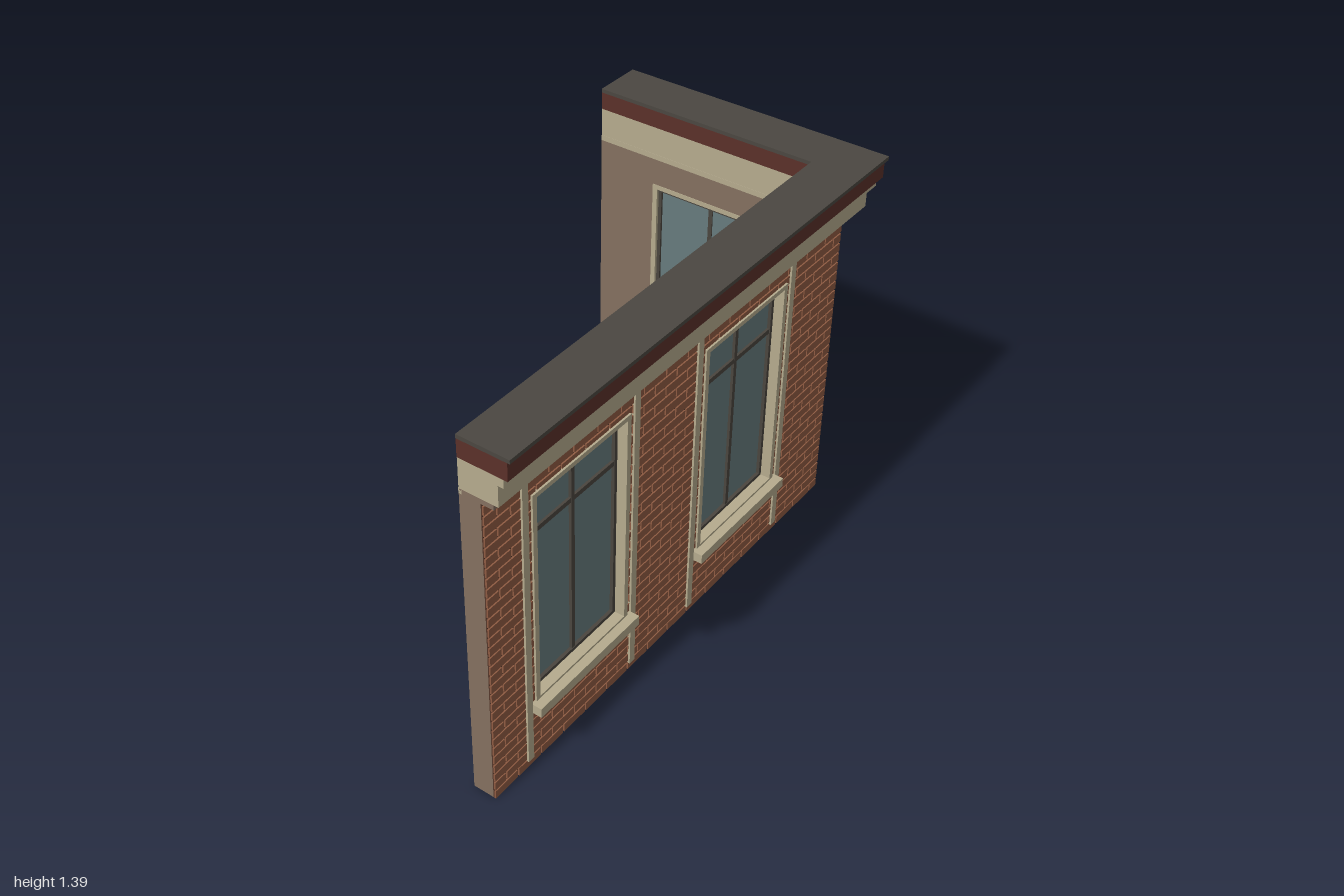
import * as THREE from 'three';
import { mergeGeometries } from 'three/addons/utils/BufferGeometryUtils.js';

const mat = (name, color) => {
  const m = new THREE.MeshStandardMaterial({ color });
  m.name = name;
  return m;
};

// Main heights and depths; each wall is built with its brick face at z = 0
const WALL_TOP = 1.19, INNER = -0.087, BRICK_D = 0.006, MORTAR_D = 0.004;
const FACE_X = 0.901, FACE_Z = 0.425, BACK = -0.52;
const OPEN_W = 0.238, OPEN_BOTTOM = 0.265, OPEN_TOP = 1.09;

function rectPoints(x0, x1, y0, y1) {
  return [[x0, y0], [x1, y0], [x1, y1], [x0, y1]].map(p => new THREE.Vector2(...p));
}

// Flat plate between z0 and z1 with rectangular holes
function plate(rect, holes, z0, z1) {
  const shape = new THREE.Shape(rectPoints(...rect));
  for (const h of holes) shape.holes.push(new THREE.Path(rectPoints(...h)));
  return new THREE.ExtrudeGeometry(shape, { depth: z1 - z0, bevelEnabled: false }).translate(0, 0, z0);
}

function block(x0, x1, y0, y1, z0, z1) {
  return new THREE.BoxGeometry(x1 - x0, y1 - y0, z1 - z0)
    .translate((x0 + x1) / 2, (y0 + y1) / 2, (z0 + z1) / 2);
}

// Parts of a rectangle left over once a hole is cut from it
function subtract([x0, x1, y0, y1], [a, b, c, d]) {
  if (x1 <= a || x0 >= b || y1 <= c || y0 >= d) return [[x0, x1, y0, y1]];
  const l = Math.max(x0, a), r = Math.min(x1, b);
  return [[x0, l, y0, y1], [r, x1, y0, y1], [l, r, y0, c], [l, r, d, y1]]
    .filter(q => q[1] - q[0] > 0.002 && q[3] - q[2] > 0.002);
}

// Running-bond bricks, every other row shifted by half a brick
function brickGeometry(u0, u1, holes) {
  const rows = 31, pitch = WALL_TOP / rows, length = 0.116, joint = 0.0065;
  const parts = [];
  for (let i = 0; i < rows; i++) {
    for (let u = u0 - (i % 2) * length / 2; u < u1; u += length) {
      const a = Math.max(u, u0), b = Math.min(u + length - joint, u1);
      if (b - a < 0.002) continue;
      let cells = [[a, b, i * pitch, (i + 1) * pitch - joint]];
      for (const h of holes) cells = cells.flatMap(c => subtract(c, h));
      for (const c of cells) parts.push(block(...c, -BRICK_D, 0));
    }
  }
  return mergeGeometries(parts);
}

export function createModel() {
  const brick = mat('brick', 0x8f5b42);
  const mortar = mat('mortar', 0x55372a);
  const plaster = mat('plaster', 0x84705f);
  const trim = mat('stone trim', 0xb5ab8e);
  const red = mat('dark red fascia', 0x5b3029);
  const coping = mat('coping', 0x4b4741);
  const frameMat = mat('window frame', 0x4a453e);
  const glass = mat('glass', 0x667b7d);

  const model = new THREE.Group();
  model.name = 'cornerFacade';
  const add = (parent, name, geometry, material) => {
    const m = new THREE.Mesh(geometry, material);
    m.name = name;
    parent.add(m);
  };

  function windowUnit(cx) {
    const g = new THREE.Group();
    g.name = 'window';
    g.position.x = cx;
    const w = 0.219, y0 = 0.275, y1 = 1.073, pane = [-0.206, 0.206, 0.288, 1.061];
    add(g, 'casing', plate([-OPEN_W, OPEN_W, OPEN_BOTTOM, OPEN_TOP], [[-w, w, y0, y1]], INNER - 0.002, 0.007), trim);
    add(g, 'sill', block(-0.257, 0.257, 0.23, 0.267, -0.01, 0.04), trim);
    add(g, 'frame', plate([-w, w, y0, y1], [pane], -0.078, -0.03), frameMat);
    add(g, 'glass', block(...pane, -0.07, -0.042), glass);
    add(g, 'mullion', block(-0.008, 0.008, pane[2], pane[3], -0.074, -0.032), frameMat);
    add(g, 'transom', block(pane[0], pane[1], 0.891, 0.909, -0.06, -0.033), frameMat);
    // Slim upright strips on either side of the window
    for (const s of [-1, 1]) {
      add(g, 'pilasterStrip', block(s * 0.27 - 0.0135, s * 0.27 + 0.0135, 0.03, WALL_TOP, -BRICK_D, 0.007), trim);
    }
    return g;
  }

  // Ranges along the wall are given for the bricks, mortar and plaster layers
  function wall(name, brickU, mortarU, plasterU, centres) {
    const g = new THREE.Group();
    g.name = name;
    const holes = centres.map(c => [c - OPEN_W, c + OPEN_W, OPEN_BOTTOM, OPEN_TOP]);
    const back = -BRICK_D - MORTAR_D;
    add(g, 'bricks', brickGeometry(...brickU, holes), brick);
    add(g, 'mortarBed', plate([...mortarU, 0, WALL_TOP], holes, back, -BRICK_D), mortar);
    add(g, 'plasterWall', plate([...plasterU, 0, WALL_TOP], holes, INNER, back), plaster);
    for (const c of centres) g.add(windowUnit(c));
    model.add(g);
    return g;
  }

  const b = BRICK_D, m = BRICK_D + MORTAR_D;
  const front = wall('frontWall', [-1, FACE_X], [-1, FACE_X - b], [-1, FACE_X - m], [-0.56, 0.317]);
  front.position.z = FACE_Z;
  const side = wall('sideWall', [-FACE_Z + b, -BACK], [-FACE_Z + m, -BACK], [-FACE_Z - INNER, -BACK], [0.054]);
  side.rotation.y = Math.PI / 2;
  side.position.x = FACE_X;

  // L-shaped cornice courses, each stepping further out
  function course(name, out, y0, y1, material, inner = 0) {
    const ox = FACE_X + out, oz = FACE_Z + out;
    const ix = FACE_X + INNER - inner, iz = FACE_Z + INNER - inner;
    const shape = new THREE.Shape(
      [[-1, oz], [ox, oz], [ox, BACK], [ix, BACK], [ix, iz], [-1, iz]].map(([x, z]) => new THREE.Vector2(x, -z)));
    const geo = new THREE.ExtrudeGeometry(shape, { depth: y1 - y0, bevelEnabled: false });
    add(model, name, geo.rotateX(-Math.PI / 2).translate(0, y0, 0), material);
  }
  course('corniceBed', 0.036, WALL_TOP, 1.208, plaster);
  course('corniceFrieze', 0.053, 1.208, 1.284, trim);
  course('corniceMoulding', 0.073, 1.284, 1.315, trim);
  course('corniceFascia', 0.088, 1.315, 1.379, red, 0.001);
  course('coping', 0.097, 1.379, 1.393, coping, 0.002);

  // Pale band along the inner face beneath the fascia
  const ix = FACE_X + INNER, iz = FACE_Z + INNER;
  add(model, 'innerBandFront', block(-1, ix, WALL_TOP, 1.21, iz - 0.001, iz + 0.01), trim);
  add(model, 'innerBandSide', block(ix - 0.001, ix + 0.01, WALL_TOP, 1.21, BACK, iz), trim);
  return model;
}
